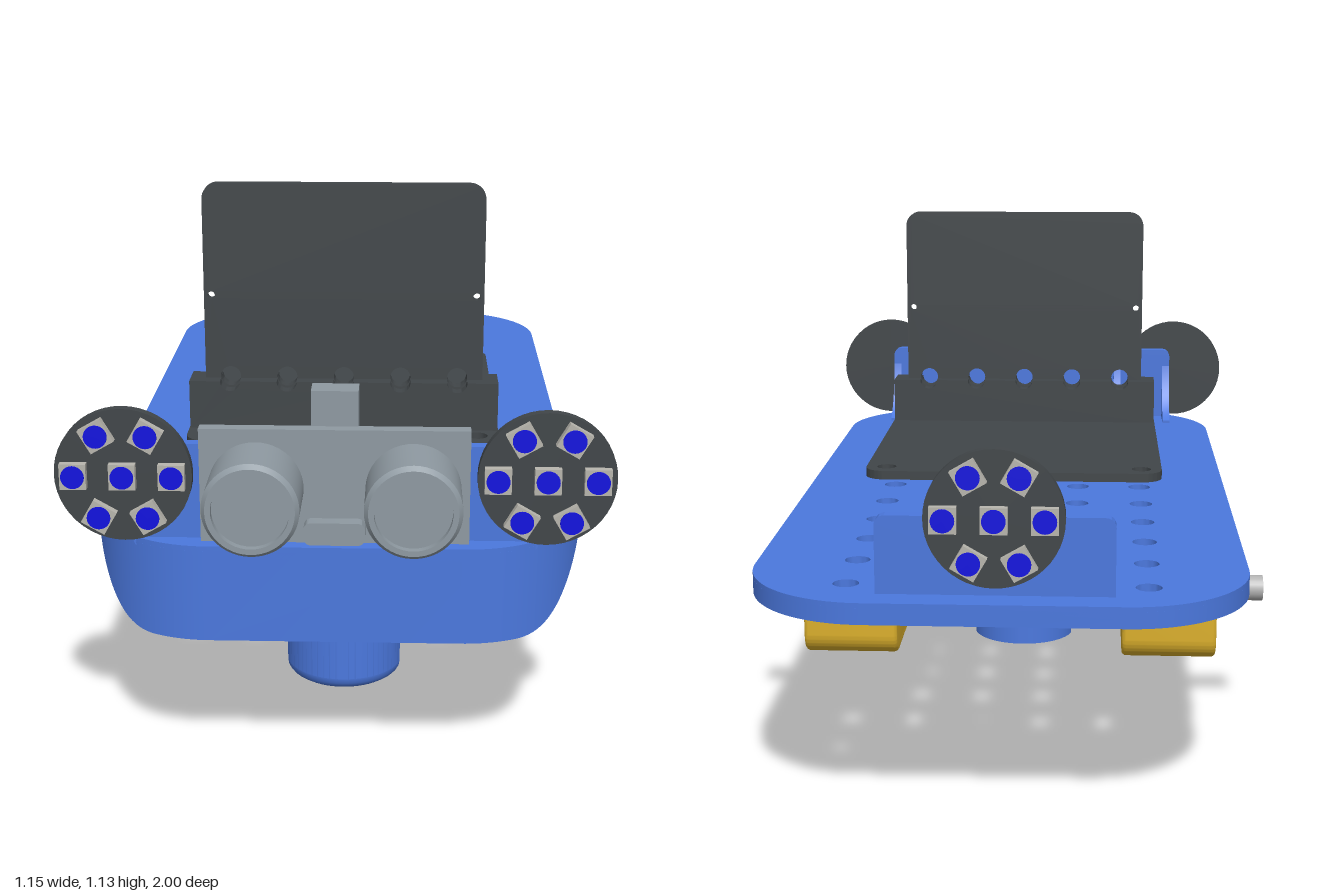
import * as THREE from 'three';
import { toCreasedNormals } from 'three/addons/utils/BufferGeometryUtils.js';

const mat = (color) => new THREE.MeshStandardMaterial({ color });
const BLUE = mat(0x4b78de), YELLOW = mat(0xdcb02c), DARK = mat(0x414649), STEEL = mat(0xb4b4b4),
  SENSOR = mat(0x8f9aa2), PALE = mat(0xb8b6ae), LIGHT = mat(0x1010e0);

function add(parent, name, geo, material, x = 0, y = 0, z = 0) {
  const m = new THREE.Mesh(geo, material);
  m.name = name;
  m.position.set(x, y, z);
  parent.add(m);
  return m;
}

// Box given by its limits on each axis
function box(parent, name, material, [x0, x1], [y0, y1], [z0, z1]) {
  return add(parent, name, new THREE.BoxGeometry(x1 - x0, y1 - y0, z1 - z0), material,
    (x0 + x1) / 2, (y0 + y1) / 2, (z0 + z1) / 2);
}

function roundRect(x0, x1, y0, y1, r) {
  const s = new THREE.Shape(), q = Math.PI / 2;
  s.absarc(x1 - r, y0 + r, r, -q, 0);
  s.absarc(x1 - r, y1 - r, r, 0, q);
  s.absarc(x0 + r, y1 - r, r, q, 2 * q);
  s.absarc(x0 + r, y0 + r, r, 2 * q, 3 * q);
  return s;
}

function hole(shape, x, y, r) {
  shape.holes.push(new THREE.Path().absarc(x, y, r, 0, Math.PI * 2, true));
}

function extrude(shape, depth, bevel = 0) {
  const g = new THREE.ExtrudeGeometry(shape, {
    depth: depth - 2 * bevel, curveSegments: 12, bevelEnabled: bevel > 0,
    bevelSize: bevel, bevelOffset: -bevel, bevelThickness: bevel, bevelSegments: 4 });
  return toCreasedNormals(g.translate(0, 0, bevel), 0.6);
}
// Shape drawn in (x, -z), thickened upwards
const flat = (shape, h, bevel) => extrude(shape, h, bevel).rotateX(-Math.PI / 2);
// Shape drawn in (z, y), thickened along x and centred on x = 0
const side = (shape, w, bevel) => extrude(shape, w, bevel).rotateY(-Math.PI / 2).translate(w / 2, 0, 0);
// Cylinder along x or z
const rodX = (r, l, n = 32) => new THREE.CylinderGeometry(r, r, l, n).rotateZ(Math.PI / 2);
const rodZ = (r, l, n = 48) => new THREE.CylinderGeometry(r, r, l, n).rotateX(Math.PI / 2);

// Closed wall between two outlines in (x, -z), its lower edge following a rule
function wall(outer, inner, top, bottom) {
  const pos = [], idx = [], n = outer.length;
  outer.forEach((o, i) => {
    const p = inner[i], b = bottom(-o.y);
    pos.push(o.x, b, -o.y, o.x, top, -o.y, p.x, top, -p.y, p.x, b, -p.y);
    const j = (i + 1) % n;
    for (let k = 0; k < 4; k++) {
      const l = (k + 1) % 4;
      idx.push(i * 4 + k, j * 4 + k, j * 4 + l, i * 4 + k, j * 4 + l, i * 4 + l);
    }
  });
  const g = new THREE.BufferGeometry();
  g.setAttribute('position', new THREE.Float32BufferAttribute(pos, 3));
  g.setIndex(idx);
  return toCreasedNormals(g, 0.6);
}

// Round board with seven lights, facing +z
function lightDisc(name) {
  const g = new THREE.Group();
  g.name = name;
  add(g, 'discBoard', rodZ(0.135, 0.02), DARK);
  for (let i = 0; i < 7; i++) {
    const a = i * Math.PI / 3, r = i < 6 ? 0.096 : 0;
    const x = r * Math.cos(a), y = r * Math.sin(a);
    add(g, 'lightHousing', new THREE.BoxGeometry(0.052, 0.052, 0.016), PALE, x, y, 0.018).rotation.z = a;
    add(g, 'light', rodZ(0.023, 0.004, 24), LIGHT, x, y, 0.027);
  }
  return g;
}

// Upright wall with curved gussets behind it, wall face towards +z at z = 0
function bracket(name, half, height, ribs) {
  const g = new THREE.Group();
  g.name = name;
  const face = roundRect(-half, half, -0.02, height, 0.02);
  add(g, 'bracketWall', extrude(face, 0.025), BLUE, 0, 0, -0.025);
  const gusset = new THREE.Shape();
  gusset.moveTo(-0.02, 0);
  gusset.lineTo(-0.02, height - 0.02);
  gusset.quadraticCurveTo(-0.04, 0.05, -0.125, 0.012);
  gusset.lineTo(-0.125, 0);
  for (const x of ribs) add(g, 'gusset', side(gusset, 0.02), BLUE, x);
  return g;
}

function motor(s) {
  const g = new THREE.Group();
  g.name = s > 0 ? 'leftMotor' : 'rightMotor';
  const cx = s * 0.357;
  const body = roundRect(-0.43, 0.15, 0.2, 0.455, 0.05);
  for (const y of [0.225, 0.43]) hole(body, -0.045, y, 0.016);
  add(g, 'gearbox', side(body, 0.21, 0.01), YELLOW, cx);
  box(g, 'gearboxFront', YELLOW, [cx - 0.113, cx + 0.113], [0.197, 0.458], [0.015, 0.157]);
  box(g, 'clip', YELLOW, [cx - 0.118, cx + 0.118], [0.305, 0.355], [0.082, 0.108]);
  add(g, 'boss', rodX(0.022, 0.226, 24), YELLOW, cx, 0.33, -0.145);
  add(g, 'axleCollar', rodX(0.033, 0.24), YELLOW, cx, 0.33, -0.28);
  add(g, 'axle', rodX(0.029, 0.435, 24), STEEL, cx, 0.33, -0.28);
  const tab = roundRect(-0.485, -0.42, 0.302, 0.358, 0.005);
  hole(tab, -0.458, 0.33, 0.013);
  add(g, 'mountTab', side(tab, 0.05), YELLOW, cx);
  const can = roundRect(-0.1, 0.1, 0.21, 0.445, 0.075);
  add(g, 'motorCan', extrude(can, 0.18, 0.018), STEEL, cx, 0, 0.14);
  add(g, 'motorTip', rodZ(0.05, 0.03), STEEL, cx, 0.325, 0.33);
  // Hanging plate that carries the gearbox
  const hang = new THREE.Shape();
  hang.moveTo(-0.2, 0.49);
  hang.quadraticCurveTo(-0.135, 0.46, -0.135, 0.38);
  hang.lineTo(-0.135, 0.22);
  hang.quadraticCurveTo(-0.135, 0.18, -0.095, 0.18);
  hang.lineTo(-0.01, 0.18);
  hang.quadraticCurveTo(0.03, 0.18, 0.03, 0.22);
  hang.lineTo(0.03, 0.38);
  hang.quadraticCurveTo(0.03, 0.46, 0.095, 0.49);
  for (const y of [0.225, 0.43]) hole(hang, -0.045, y, 0.016);
  add(g, 'motorHanger', side(hang, 0.055), BLUE, s * 0.217);
  return g;
}

export function createModel() {
  const model = new THREE.Group();
  model.name = 'robotChassis';
  const g = new THREE.Group();
  g.name = 'robot';
  g.rotation.y = -0.0214;
  g.position.x = -0.007;
  model.add(g);

  // Perforated deck with a rim that deepens into a front skirt
  const deck = roundRect(-0.499, 0.499, -0.885, 0.995, 0.25);
  const rimOuter = deck.getPoints(20);
  const rimInner = roundRect(-0.469, 0.469, -0.855, 0.965, 0.22).getPoints(20);
  for (let r = 0; r < 11; r++)
    for (let c = -2; c <= 2; c++) hole(deck, c * 0.1475, 0.87 - r * 0.1625, 0.026);
  add(g, 'deck', flat(deck, 0.025), BLUE, 0, 0.485);
  add(g, 'deckRim', wall(rimOuter, rimInner, 0.5, (z) =>
    0.467 - 0.157 * THREE.MathUtils.smoothstep(z, 0.66, 0.86)), BLUE);

  // Stiffening ribs under the deck
  for (const x of [-0.221, -0.074, 0.074, 0.221]) {
    box(g, 'rearRib', BLUE, [x - 0.01, x + 0.01], [0.425, 0.49], [-0.8, -0.6]);
    box(g, 'middleRib', BLUE, [x - 0.01, x + 0.01], [0.455, 0.49], [-0.6, 0.3]);
    box(g, 'frontRib', BLUE, [x - 0.01, x + 0.01], [0.42, 0.49], [0.47, 0.87]);
  }
  for (const z of [-0.81, -0.59]) box(g, 'rearCrossRib', BLUE, [-0.37, 0.37], [0.425, 0.49], [z - 0.01, z + 0.01]);
  for (const x of [-0.36, 0.36]) box(g, 'rearEndRib', BLUE, [x - 0.01, x + 0.01], [0.425, 0.49], [-0.81, -0.59]);
  for (const z of [-0.3, 0.03]) box(g, 'middleCrossRib', BLUE, [-0.46, 0.46], [0.458, 0.49], [z - 0.01, z + 0.01]);

  // Skid foot: slotted tube with a solid rounded front half
  const ring = (r) => Array.from({ length: 96 }, (_, i) => {
    const a = i * Math.PI / 48;
    return new THREE.Vector2(r * Math.cos(a), r * Math.sin(a));
  });
  add(g, 'footTube', wall(ring(0.133), ring(0.113), 0.49, (z) =>
    Math.abs(z) < 0.03 ? 0.125 + Math.sqrt(0.0009 - z * z) : z > 0 ? 0.03 : 0.008), BLUE, 0, 0, 0.36);
  const half = new THREE.Shape();
  half.absarc(0, 0, 0.133, Math.PI + 0.25, 2 * Math.PI - 0.25);
  add(g, 'footSkid', flat(half, 0.48, 0.03), BLUE, 0, 0, 0.36);
  add(g, 'footFlare', new THREE.CylinderGeometry(0.155, 0.133, 0.04, 48), BLUE, 0, 0.47, 0.36);

  for (const s of [-1, 1]) g.add(motor(s));

  // Control board, socket strip and upright board
  const board = roundRect(-0.342, 0.342, -0.483, 0.265, 0.045);
  for (const x of [-0.295, 0.295]) for (const y of [-0.43, 0.218]) hole(board, x, y, 0.022);
  add(g, 'controlBoard', flat(board, 0.02), DARK, 0, 0.572);
  const strip = new THREE.Shape();
  strip.moveTo(-0.34, 0.59);
  strip.lineTo(0.34, 0.59);
  strip.lineTo(0.34, 0.7);
  for (let i = 2; i >= -2; i--) strip.absarc(i * 0.125, 0.7, 0.022, 0, Math.PI, true);
  strip.lineTo(-0.34, 0.7);
  add(g, 'socketStrip', extrude(strip, 0.078), DARK, 0, 0, 0.317);
  const card = roundRect(-0.306, 0.306, 0.66, 1.135, 0.035);
  for (const x of [-0.29, 0.29]) hole(card, x, 0.888, 0.008);
  for (let i = -2; i <= 2; i++) hole(card, i * 0.125, 0.705, 0.022);
  add(g, 'uprightBoard', extrude(card, 0.02), DARK, 0, 0, 0.346);

  // Front bracket, twin-tube range sensor and two light discs
  const front = bracket('frontBracket', 0.4, 0.2, [-0.39, -0.25, -0.085, 0.085, 0.25, 0.39]);
  front.position.set(0, 0.505, 0.838);
  g.add(front);
  box(g, 'sensorBoard', SENSOR, [-0.263, 0.263], [0.512, 0.744], [0.835, 0.862]);
  box(g, 'sensorPlug', SENSOR, [-0.046, 0.046], [0.67, 0.815], [0.785, 0.838]);
  add(g, 'sensorCrystal', extrude(roundRect(-0.06, 0.06, 0.517, 0.563, 0.015), 0.03), SENSOR, 0, 0, 0.86);
  const tube = [[0, 0], [0.093, 0], [0.093, 0.125], [0.085, 0.135], [0.074, 0.135], [0.074, 0.12], [0, 0.12]]
    .map(([r, h]) => new THREE.Vector2(r, h));
  for (const s of [-1, 1]) {
    add(g, 'sensorTube', toCreasedNormals(new THREE.LatheGeometry(tube, 48).rotateX(Math.PI / 2), 0.6),
      SENSOR, s * 0.153, 0.625, 0.862);
    const d = lightDisc(s > 0 ? 'frontLeftLights' : 'frontRightLights');
    d.position.set(s * 0.412, 0.647, 0.85);
    g.add(d);
  }

  // Rear bracket and light disc, facing back
  const rear = bracket('rearBracket', 0.23, 0.16, [-0.22, -0.075, 0.075, 0.22]);
  rear.position.set(0, 0.505, -0.935);
  rear.rotation.y = Math.PI;
  const rearLights = lightDisc('rearLights');
  rearLights.position.set(0, 0.665, -0.945);
  rearLights.rotation.y = Math.PI;
  g.add(rear, rearLights);
  return model;
}
